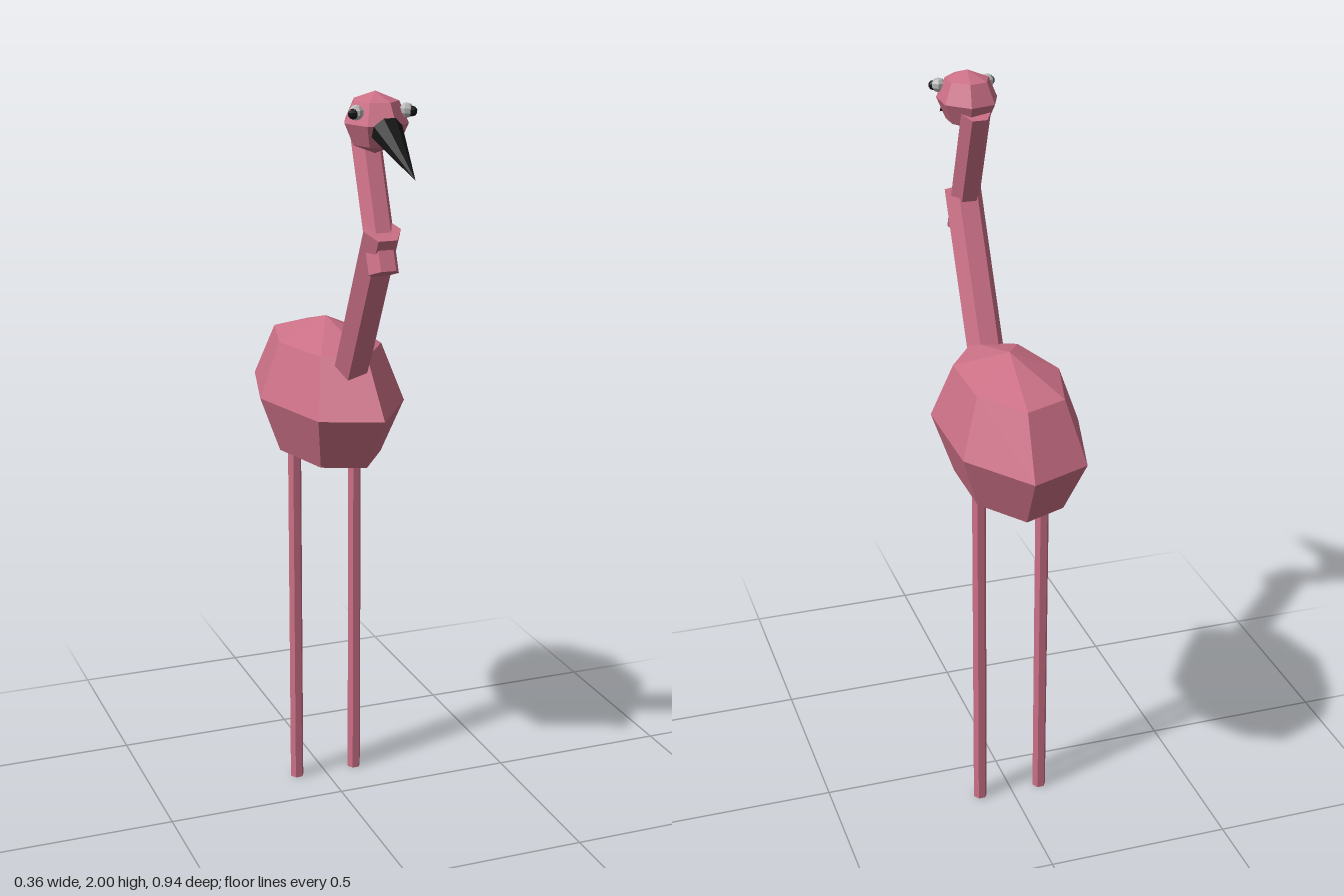
import * as THREE from 'three';

const CX = 0.009; // shared centre line of body, neck and head

export function createModel() {
  const group = new THREE.Group();
  const material = (name, color) => {
    const m = new THREE.MeshStandardMaterial({ color, flatShading: true });
    m.name = name;
    return m;
  };
  const pink = material('feather pink', 0xcb7086);
  const black = material('beak black', 0x151515);
  const grey = material('eye grey', 0xb8b8b8);

  const add = (name, geometry, mat, x, y, z) => {
    const mesh = new THREE.Mesh(geometry, mat);
    mesh.name = name;
    mesh.position.set(x, y, z);
    group.add(mesh);
    return mesh;
  };

  // Low-poly ellipsoid
  const blob = (name, mat, [x, y, z], [rx, ry, rz], sides = 7, rings = 4) =>
    add(name, new THREE.SphereGeometry(1, sides, rings).scale(rx, ry, rz), mat, x, y, z);

  // Straight prism or cone between two [z, y] points, leaning in the side plane
  const rod = (name, mat, x, from, to, r0, r1, sides) => {
    const a = new THREE.Vector3(x, from[1], from[0]);
    const b = new THREE.Vector3(x, to[1], to[0]);
    const axis = b.clone().sub(a);
    const geometry = new THREE.CylinderGeometry(r1, r0, axis.length(), sides, 1, false, Math.PI / sides);
    const mid = a.add(b).multiplyScalar(0.5);
    const mesh = add(name, geometry, mat, mid.x, mid.y, mid.z);
    mesh.rotation.x = Math.atan2(axis.z, axis.y);
    return mesh;
  };

  // Body and head
  blob('body', pink, [CX, 1.145, -0.145], [0.189, 0.215, 0.338]);
  blob('head', pink, [CX, 1.924, 0.208], [0.08, 0.076, 0.098]);

  // Neck: two crossing hexagonal prisms, the upper one poking out in front
  rod('lowerNeck', pink, CX - 0.003, [0.03, 1.205], [0.267, 1.667], 0.05, 0.05, 6);
  rod('upperNeck', pink, CX - 0.003, [0.28, 1.56], [0.143, 1.905], 0.04, 0.04, 6);

  // Beak
  rod('beak', black, CX, [0.286, 1.912], [0.467, 1.82], 0.04, 0, 8);

  // Legs
  rod('rightLeg', pink, -0.084, [-0.142, 0], [-0.142, 0.985], 0.019, 0.019, 6);
  rod('leftLeg', pink, 0.092, [-0.142, 0], [-0.142, 0.985], 0.019, 0.019, 6);

  // Eyes with pupils set outward and slightly forward
  for (const [side, s] of [['left', 1], ['right', -1]]) {
    blob(side + 'Eye', grey, [CX + s * 0.066, 1.955, 0.249], [0.019, 0.019, 0.019], 7, 5);
    blob(side + 'Pupil', black, [CX + s * 0.077, 1.953, 0.258], [0.013, 0.013, 0.013], 7, 5);
  }

  return group;
}
